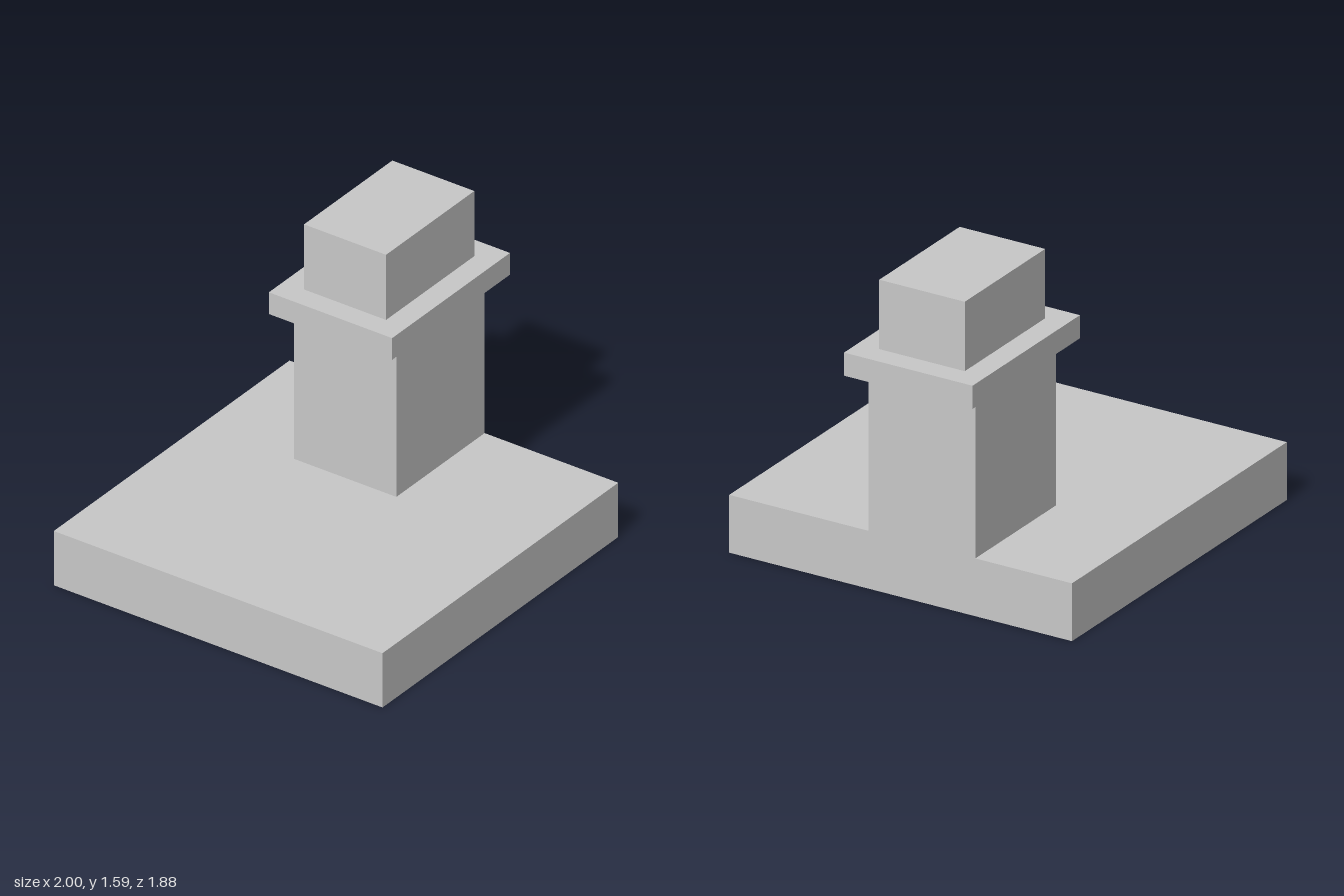
import * as THREE from 'three';

export function createModel() {
  const group = new THREE.Group();
  const stone = new THREE.MeshStandardMaterial({ color: 0xc8c8c8 });
  stone.name = 'light grey';

  // Box given by its minimum and maximum corners
  function block(name, [x0, y0, z0], [x1, y1, z1]) {
    const mesh = new THREE.Mesh(new THREE.BoxGeometry(x1 - x0, y1 - y0, z1 - z0), stone);
    mesh.position.set((x0 + x1) / 2, (y0 + y1) / 2, (z0 + z1) / 2);
    mesh.name = name;
    group.add(mesh);
  }

  // Wide slab, with the column flush to its left edge
  block('base', [-1, 0, -0.94], [0.88, 0.295, 0.94]);
  block('column', [0.176, 0.295, -0.41], [0.88, 1.118, 0.176]);
  // Projecting collar and the block above it
  block('collar', [0.06, 1.118, -0.47], [1, 1.236, 0.235]);
  block('cap', [0.176, 1.236, -0.352], [0.88, 1.59, 0.117]);

  return group;
}
